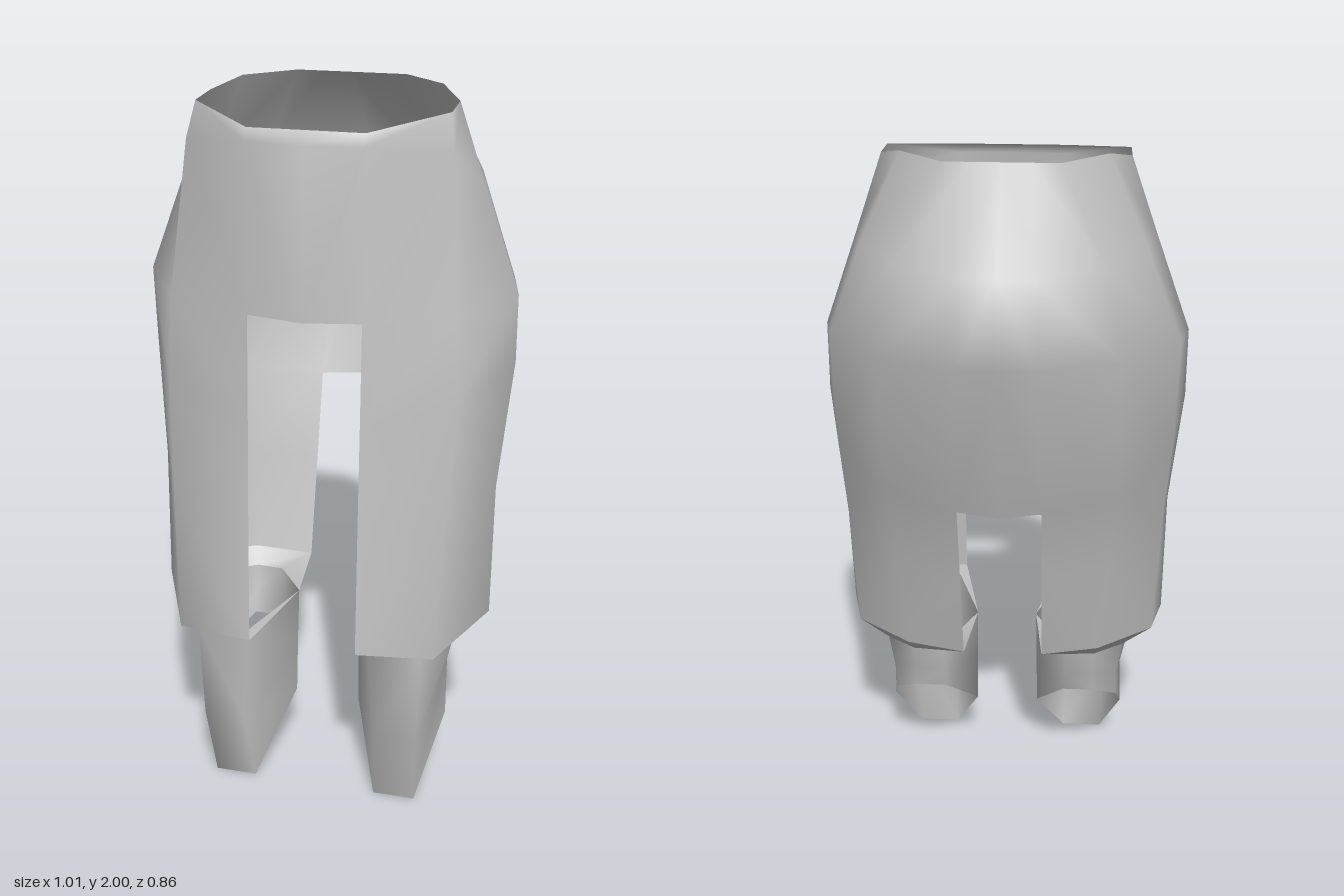
import * as THREE from 'three';
import { mergeGeometries, mergeVertices } from 'three/addons/utils/BufferGeometryUtils.js';

const grey = new THREE.MeshStandardMaterial({ color: 0xc2c2c2, side: THREE.DoubleSide });
grey.name = 'light grey';

// Skins neighbouring rows of [x, y, z] points; a null point leaves a gap (slots).
function loft(rows, closed = false) {
  const tris = [];
  const n = rows[0].length;
  for (let r = 0; r < rows.length - 1; r++) {
    for (let c = 0; c < (closed ? n : n - 1); c++) {
      const a = rows[r][c], b = rows[r][(c + 1) % n];
      const d = rows[r + 1][c], e = rows[r + 1][(c + 1) % n];
      if (a && b && d && e) tris.push(a, d, b, b, d, e);
    }
  }
  return tris;
}

// Mirrored copy of a triangle list, with corner order kept outward.
function mirror(tris) {
  const out = [];
  for (let i = 0; i < tris.length; i += 3) {
    for (const k of [0, 2, 1]) {
      const [x, y, z] = tris[i + k];
      out.push([-x, y, z]);
    }
  }
  return out;
}

function toGeometry(tris) {
  const g = new THREE.BufferGeometry();
  g.setAttribute('position', new THREE.Float32BufferAttribute(tris.flat(), 3));
  return g;
}

function addMesh(group, name, ...lists) {
  const g = mergeVertices(mergeGeometries(lists.map(toGeometry)));
  g.computeVertexNormals();
  const mesh = new THREE.Mesh(g, grey);
  mesh.name = name;
  group.add(mesh);
}

// Half outline of the garment, front centre round to back centre, top to hem.
const rim = [[0, 1.94, 0.34], [0.15, 1.94, 0.34], [0.33, 1.97, 0.19], [0.33, 1.975, 0.07],
  [0.27, 2, -0.02], [0.15, 2, -0.135], [0.08, 2, -0.135], [0, 2, -0.135]];
const waist = [[0, 1.91, 0.375], [0.15, 1.91, 0.365], [0.345, 1.88, 0.23], [0.403, 1.77, 0.08],
  [0.375, 1.77, -0.07], [0.27, 1.77, -0.27], [0.1, 1.77, -0.37], [0, 1.77, -0.37]];
const hips = [[0, 1.47, 0.4], [0.15, 1.47, 0.37], [0.38, 1.48, 0.3], [0.505, 1.49, 0.1],
  [0.478, 1.5, -0.02], [0.315, 1.55, -0.33], [0.1, 1.56, -0.43], [0, 1.56, -0.43]];
const thigh = [null, [0.15, 1.2, 0.387], [0.39, 1.25, 0.315], [0.505, 1.3, 0.09],
  [0.47, 1.2, -0.03], [0.32, 1.1, -0.19], [0.115, 1.08, -0.25], [0, 1.08, -0.28]];
const knee = [null, [0.15, 0.95, 0.405], [0.375, 0.95, 0.36], [0.475, 0.95, 0.14],
  [0.455, 0.95, 0], [0.305, 0.85, -0.13], [0.115, 0.85, -0.186], null];
const hem = [null, [0.15, 0.54, 0.43], [0.36, 0.54, 0.4], [0.475, 0.57, 0.16],
  [0.44, 0.57, 0.02], [0.28, 0.555, -0.08], [0.115, 0.54, -0.1], null];

// Leg loops: inner, front pair, outer pair, back pair.
const legTop = [[0.09, 0.54, 0.13], [0.17, 0.54, 0.375], [0.32, 0.53, 0.37], [0.385, 0.51, 0.15],
  [0.355, 0.51, 0.02], [0.27, 0.51, -0.04], [0.19, 0.51, -0.035]];
const legMiddle = [[0.093, 0.38, 0.14], [0.19, 0.24, 0.375], [0.31, 0.24, 0.37], [0.355, 0.37, 0.15],
  [0.34, 0.4, 0.03], [0.27, 0.43, -0.025], [0.18, 0.43, -0.02]];
const legCut = [[0.095, 0.21, 0.15], [0.18, 0, 0.315], [0.3, 0, 0.315], [0.36, 0.21, 0.16],
  [0.345, 0.29, 0.08], [0.27, 0.36, -0.01], [0.18, 0.36, -0.01]];

export function createModel() {
  const model = new THREE.Group();
  model.name = 'trousers';

  // Open shell with a slot at front and back
  const half = loft([rim, waist, hips, thigh, knee, hem]);
  addMesh(model, 'trouserShell', half, mirror(half));

  // Ledge joining the hem to the leg, and the leg tube cut off diagonally
  const hemEdge = hem.slice(1, 7);
  const ledge = [
    ...loft([hemEdge, legTop.slice(1)]),
    hemEdge[0], legTop[0], legTop[1],
    hemEdge[5], legTop[6], legTop[0],
  ];
  const leg = loft([legTop, legMiddle, legCut], true);
  addMesh(model, 'leftHemLedge', ledge);
  addMesh(model, 'rightHemLedge', mirror(ledge));
  addMesh(model, 'leftLeg', leg);
  addMesh(model, 'rightLeg', mirror(leg));

  return model;
}
